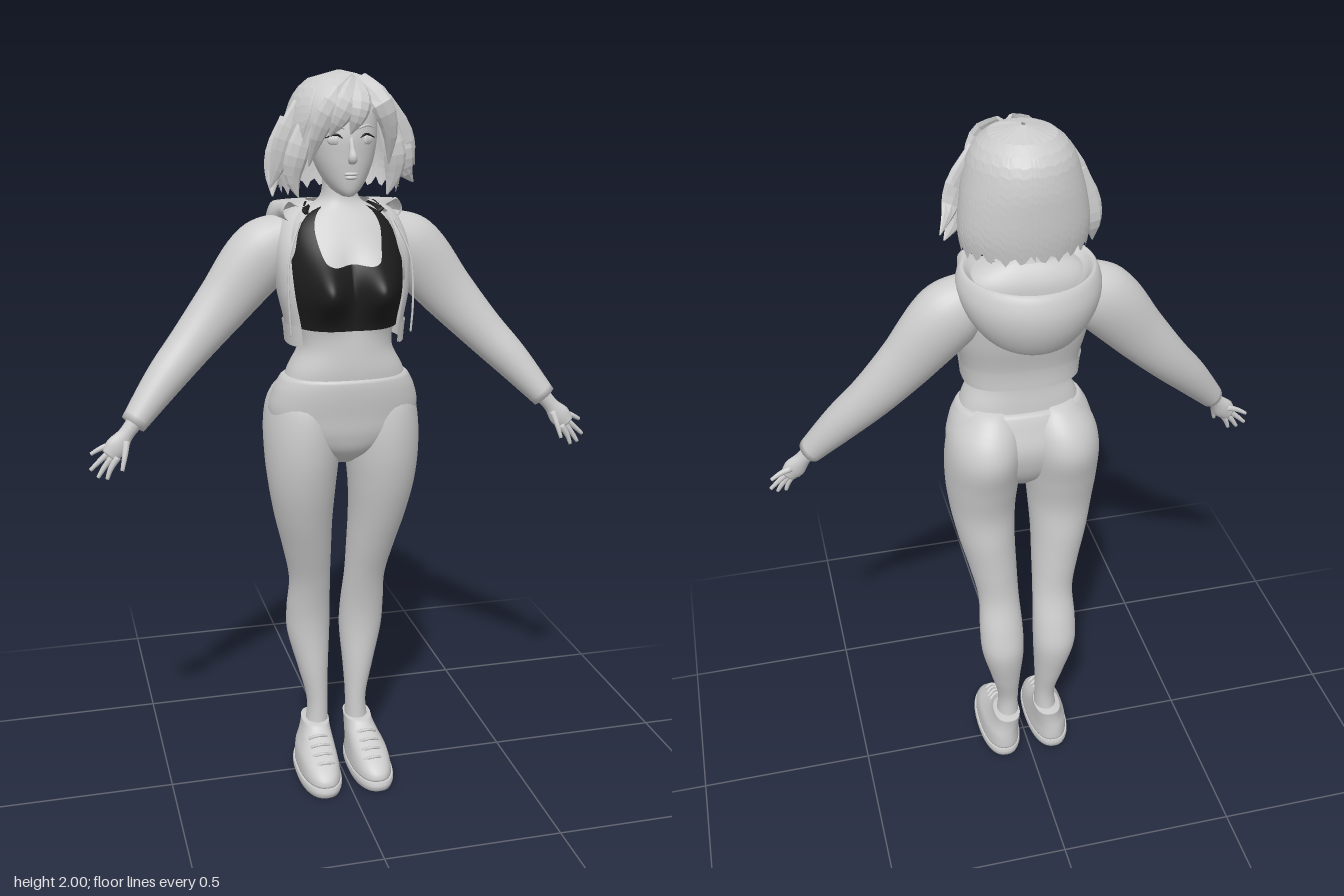
import * as THREE from 'three';
import { mergeVertices } from 'three/addons/utils/BufferGeometryUtils.js';

const pale = new THREE.MeshStandardMaterial({ color: 0xcccccc, side: THREE.DoubleSide });
pale.name = 'pale grey';
const black = new THREE.MeshStandardMaterial({ color: 0x1c1c1c, side: THREE.DoubleSide });
black.name = 'black';

// Grid surface from fn(u, v) -> Vector3; cap closes both ends with a centre point
function grid(nu, nv, fn, { cap = false, flat = false } = {}) {
  const pos = [], index = [];
  const rows = [];
  for (let j = 0; j <= nv; j++) {
    rows.push(Array.from({ length: nu + 1 }, (_, i) => fn(i / nu, j / nv)));
  }
  if (cap) {
    const centre = (row) => {
      const c = new THREE.Vector3();
      for (let i = 0; i < nu; i++) c.addScaledVector(row[i], 1 / nu);
      return row.map(() => c);
    };
    rows.unshift(centre(rows[0]));
    rows.push(centre(rows[rows.length - 1]));
  }
  rows.forEach((row, j) => row.forEach((p, i) => {
    pos.push(p.x, p.y, p.z);
    if (j === 0 || i === 0) return;
    const d = j * (nu + 1) + i, c = d - 1, b = d - nu - 1, a = b - 1;
    index.push(a, b, c, b, d, c);
  }));
  let geo = new THREE.BufferGeometry();
  geo.setAttribute('position', new THREE.Float32BufferAttribute(pos, 3));
  geo.setIndex(index);
  geo = mergeVertices(geo, 1e-5);
  if (flat) geo = geo.toNonIndexed();
  geo.computeVertexNormals();
  return geo;
}

// Smooth value of column k in stations sorted by column 0
function at(st, y, k) {
  const n = st.length;
  let i = 0;
  while (i < n - 2 && y > st[i + 1][0]) i++;
  const slope = (j) => {
    const a = st[Math.max(j - 1, 0)], b = st[Math.min(j + 1, n - 1)];
    return (b[k] - a[k]) / (b[0] - a[0]);
  };
  const h = st[i + 1][0] - st[i][0];
  const t = THREE.MathUtils.clamp((y - st[i][0]) / h, 0, 1), t2 = t * t, t3 = t2 * t;
  return (2 * t3 - 3 * t2 + 1) * st[i][k] + (t3 - 2 * t2 + t) * h * slope(i)
    + (3 * t2 - 2 * t3) * st[i + 1][k] + (t3 - t2) * h * slope(i + 1);
}

// Upright body surface; stations are [y, half width, front z, back z, centre x]
function body(st, o = {}) {
  const { n = 40, m = 40, a0 = -Math.PI, a1 = Math.PI, p = 1, off = 0, side = 1, bump } = o;
  const low = o.bottom ?? (() => st[0][0]), high = o.top ?? (() => st[st.length - 1][0]);
  const pw = (v) => Math.sign(v) * Math.abs(v) ** p;
  return grid(n, m, (u, v) => {
    const a = a0 + (a1 - a0) * u;
    const y = THREE.MathUtils.lerp(low(a), high(a), v);
    const zf = at(st, y, 2) + off, zb = at(st, y, 3) - off;
    const x = pw(Math.sin(a)) * Math.max(at(st, y, 1) + off, 0.001);
    const z = (zf + zb) / 2 + pw(Math.cos(a)) * (zf - zb) / 2;
    const cx = st[0].length > 4 ? at(st, y, 4) * side : 0;
    return new THREE.Vector3(x + cx, y, z + (bump ? bump(x, y, a) : 0));
  }, { cap: o.cap ?? true, flat: o.flat });
}

// Tapering limb; stations are [x, y, z, in-plane radius, depth radius]
function limb(pts, { side = 1, n = 16, m = 24, flat = false } = {}) {
  const curve = new THREE.CatmullRomCurve3(pts.map((q) => new THREE.Vector3(q[0] * side, q[1], q[2])));
  const st = pts.map((q, i) => [i / (pts.length - 1), q[3], q[4]]);
  return grid(n, m, (u, v) => {
    const t = curve.getTangent(v), f = u * Math.PI * 2;
    const d = new THREE.Vector3(0, 0, 1).addScaledVector(t, -t.z).normalize();
    const w = new THREE.Vector3().crossVectors(d, t);
    return curve.getPoint(v).addScaledVector(w, Math.cos(f) * at(st, v, 1))
      .addScaledVector(d, Math.sin(f) * at(st, v, 2));
  }, { cap: true, flat });
}

export function createModel() {
  const g = new THREE.Group();
  const add = (name, geo, mat = pale) => {
    const mesh = new THREE.Mesh(geo, mat);
    mesh.name = name;
    g.add(mesh);
    return mesh;
  };
  const blob = (name, x, y, z, sx, sy, sz, mat) => {
    const mesh = add(name, new THREE.SphereGeometry(1, 16, 10), mat);
    mesh.position.set(x, y, z);
    mesh.scale.set(sx, sy, sz);
    return mesh;
  };

  // Torso, top and open jacket share the chest shape
  const torso = [[1.18, .175, .155, -.05], [1.24, .155, .162, -.045], [1.3, .125, .16, -.04],
    [1.36, .13, .155, -.045], [1.45, .148, .15, -.07], [1.55, .15, .125, -.085], [1.61, .14, .095, -.08],
    [1.645, .11, .07, -.07], [1.67, .06, .055, -.06], [1.7, .045, .05, -.05], [1.78, .045, .05, -.05]];
  const bust = (x, y, a) => Math.max(Math.cos(a), 0) ** .5 * .082
    * Math.exp(-(((Math.abs(x) - .075) / .058) ** 2) - ((y - 1.46) / .07) ** 2);
  add('torso', body(torso, { n: 64, m: 60, p: .85, bump: bust }));
  const neckline = [[0, 1.525], [.45, 1.53], [.58, 1.6], [.66, 1.65], [.8, 1.65], [.87, 1.56], [1, 1.51]];
  add('croppedTop', body(torso, { n: 120, m: 30, a0: -1.5, a1: 1.5, p: .85, off: .007, bump: bust, cap: false,
    bottom: () => 1.355, top: (a) => at(neckline, Math.abs(Math.sin(a)) ** .85, 1) }), black);
  const jacket = [[1.31, .152, .155, -.06], [1.36, .157, .155, -.062], [1.45, .175, .155, -.085],
    [1.55, .18, .13, -.1], [1.62, .162, .085, -.1], [1.655, .13, .055, -.085], [1.672, .085, .03, -.07]];
  add('jacket', body(jacket, { n: 56, m: 30, a0: .9, a1: 2 * Math.PI - .9, p: .75, cap: false }));
  add('jacketHem', body(jacket, { n: 56, m: 3, a0: .9, a1: 2 * Math.PI - .9, p: .75, off: .005, cap: false,
    top: () => 1.365 }));

  // Hood lying open on the back
  const spline = (pts) => new THREE.CatmullRomCurve3(pts.map(([d, y]) => new THREE.Vector3(d, y, 0)));
  const hoodBack = spline([[.08, 1.63], [.13, 1.5], [.175, 1.475], [.215, 1.53], [.227, 1.6], [.205, 1.655], [.18, 1.62], [.14, 1.57]]);
  const hoodSide = spline([[.1, 1.655], [.12, 1.63], [.14, 1.62], [.16, 1.635], [.165, 1.655], [.15, 1.675], [.135, 1.668], [.12, 1.66]]);
  add('hood', grid(36, 28, (u, v) => {
    const a = (u - .5) * 3.7;
    const q = hoodSide.getPoint(v).lerp(hoodBack.getPoint(v), Math.max(Math.cos(a), 0) ** .7);
    return new THREE.Vector3(-Math.sin(a) * q.x, q.y, -Math.cos(a) * q.x);
  }));

  // Leggings
  add('hips', body([[.97, .03, .07, -.01], [1.01, .1, .125, -.05], [1.06, .18, .148, -.075], [1.12, .205, .157, -.085],
    [1.18, .193, .165, -.07], [1.22, .172, .165, -.055], [1.225, .165, .158, -.048]], { p: .9 }));
  const leg = [[.1, .036, .005, -.08, .062], [.2, .03, 0, -.075, .058], [.3, .043, 0, -.1, .067], [.42, .062, -.003, -.124, .078],
    [.5, .063, .004, -.11, .08], [.6, .059, .028, -.082, .081], [.7, .068, .064, -.078, .092], [.8, .08, .1, -.078, .105],
    [.9, .092, .13, -.076, .112], [1, .102, .148, -.098, .112], [1.1, .104, .148, -.122, .108],
    [1.17, .092, .13, -.1, .1], [1.23, .05, .08, -.045, .085]];
  // Trainers
  const shoe = [[.028, .058, .178, -.1, .076], [.05, .057, .172, -.1, .076], [.075, .054, .14, -.098, .075],
    [.1, .047, .085, -.096, .07], [.125, .041, .035, -.097, .066], [.145, .039, .014, -.1, .064]];
  const sole = [[0, .059, .18, -.1, .077], [.015, .063, .186, -.105, .077], [.03, .061, .182, -.103, .077]];
  const arm = [[.12, 1.59, -.02, .06, .06], [.2, 1.535, -.025, .09, .075], [.31, 1.41, -.015, .075, .06],
    [.4, 1.31, .005, .061, .055], [.48, 1.225, .035, .051, .05], [.57, 1.12, .075, .034, .037]];
  // Finger base, knuckle and tip
  const fingers = [[[.625, 1.07, .075], [.655, 1.06, .073], [.682, 1.045, .07]],
    [[.63, 1.055, .085], [.66, 1.03, .085], [.686, 1.006, .085]],
    [[.625, 1.045, .092], [.65, 1.015, .094], [.668, .988, .096]],
    [[.615, 1.04, .098], [.635, 1.01, .1], [.645, .984, .102]],
    [[.59, 1.08, .095], [.598, 1.045, .113], [.607, 1.01, .123]]];

  for (const side of [1, -1]) {
    const s = side > 0 ? 'left' : 'right';
    add(s + 'Leg', body(leg, { side, n: 36, m: 60 }));
    add(s + 'Shoe', body(shoe, { side, p: .85, m: 16 }));
    add(s + 'Sole', body(sole, { side, p: .85, m: 6 }));
    for (let i = 0; i < 4; i++) {
      const y = .082 + i * .014, z = .132 - i * .028;
      add(s + 'Lace', limb([[.045, y - .008, z - .012, .004, .005], [.073, y + .004, z, .004, .005],
        [.1, y - .008, z - .012, .004, .005]], { side, n: 8, m: 8 }));
    }
    add(s + 'Sleeve', limb(arm, { side, n: 28, m: 40 }));
    add(s + 'Palm', limb([[.565, 1.125, .075, .022, .022], [.59, 1.095, .08, .021, .019],
      [.615, 1.065, .085, .03, .018], [.636, 1.042, .088, .022, .014]], { side }));
    fingers.forEach((f) => add(s + 'Finger',
      limb(f.map((q, i) => [...q, .0095 - i * .0022, .009 - i * .002]), { side, n: 8, m: 8 })));
    add(s + 'Drawstring', limb([[.125, 1.63, .085, .003, .003], [.16, 1.54, .12, .003, .003],
      [.165, 1.42, .135, .003, .003], [.16, 1.34, .135, .003, .003]], { side, n: 6 }));
    add(s + 'Strap', limb([[.1, 1.645, .045, .012, .004], [.088, 1.662, 0, .01, .006], [.09, 1.645, -.065, .012, .004]],
      { side, n: 8, m: 10 }), black);
    // Eyes, lashes and brows
    blob(s + 'Eye', side * .04, 1.833, .116, .02, .013, .008).rotation.y = side * .35;
    blob(s + 'Iris', side * .039, 1.833, .121, .008, .011, .005).rotation.y = side * .35;
    add(s + 'Lash', limb([[.019, 1.836, .127, .001, .002], [.038, 1.848, .125, .003, .003],
      [.064, 1.839, .11, .001, .002]], { side, n: 6, m: 10 }), black);
    add(s + 'Brow', limb([[.018, 1.862, .128, .002, .003], [.042, 1.869, .121, .003, .003],
      [.066, 1.862, .104, .001, .002]], { side, n: 6, m: 10 }));
  }

  // Head and face
  add('head', body([[1.692, .014, .112, .06], [1.705, .034, .12, .02], [1.74, .06, .126, -.03], [1.79, .08, .13, -.06],
    [1.85, .09, .131, -.09], [1.92, .085, .112, -.09], [1.97, .05, .07, -.06]], { p: .95 }));
  add('nose', limb([[0, 1.84, .128, .006, .004], [0, 1.81, .135, .008, .01], [0, 1.79, .142, .012, .014],
    [0, 1.778, .134, .009, .006]], { n: 12 }));
  blob('upperLip', 0, 1.75, .126, .019, .005, .008);
  blob('lowerLip', 0, 1.741, .124, .016, .006, .009);

  // Bobbed hair shell with a face opening and ragged ends
  const hair = [[1.68, .155, .11, -.122], [1.75, .165, .12, -.133], [1.82, .158, .135, -.136], [1.88, .145, .155, -.134],
    [1.94, .122, .142, -.118], [1.98, .082, .095, -.08], [1.997, .035, .04, -.045], [2, .005, .01, -.01]];
  add('hair', body(hair, { n: 80, m: 14, flat: true, cap: false, top: () => 2, bottom: (a) => {
    const d = Math.abs(a) * 180 / Math.PI;
    const jag = Math.abs(((d / 15 + (a > 0 ? .3 : 0)) % 1) - .5) * .06;
    return THREE.MathUtils.lerp(1.895, 1.69, THREE.MathUtils.smoothstep(d, 36, 58)) + jag;
  } }));

  // Loose locks: fringe, then side flicks
  const locks = [
    [[.02, 1.98, .08], [-.045, 1.93, .148], [-.085, 1.86, .142], [-.105, 1.77, .105]],
    [[.02, 1.975, .09], [-.015, 1.93, .155], [-.04, 1.885, .158], [-.06, 1.845, .142]],
    [[.02, 1.975, .09], [.015, 1.93, .155], [.006, 1.89, .163], [-.008, 1.85, .15]],
    [[.03, 1.98, .08], [.07, 1.93, .138], [.1, 1.86, .125], [.108, 1.77, .09]],
    [[.1, 1.93, .06], [.15, 1.85, .05], [.175, 1.79, .04], [.213, 1.755, -.03]],
    [[.12, 1.9, .03], [.155, 1.81, .05], [.168, 1.75, .04], [.195, 1.715, .02]],
    [[.1, 1.88, .08], [.125, 1.8, .085], [.125, 1.74, .075], [.11, 1.69, .07]],
    [[-.11, 1.92, .05], [-.15, 1.84, .05], [-.17, 1.77, .04], [-.19, 1.71, .03]],
    [[-.1, 1.88, .08], [-.13, 1.8, .085], [-.14, 1.74, .075], [-.125, 1.69, .07]],
    [[-.13, 1.88, -.02], [-.16, 1.8, -.02], [-.172, 1.74, -.02], [-.178, 1.685, 0]],
  ];
  const width = [.022, .03, .022, .002], depth = [.006, .012, .01, .002];
  for (const l of locks) {
    add('hairLock', limb(l.map((q, i) => [...q, width[i], depth[i]]), { n: 8, m: 8, flat: true }));
  }
  return g;
}
